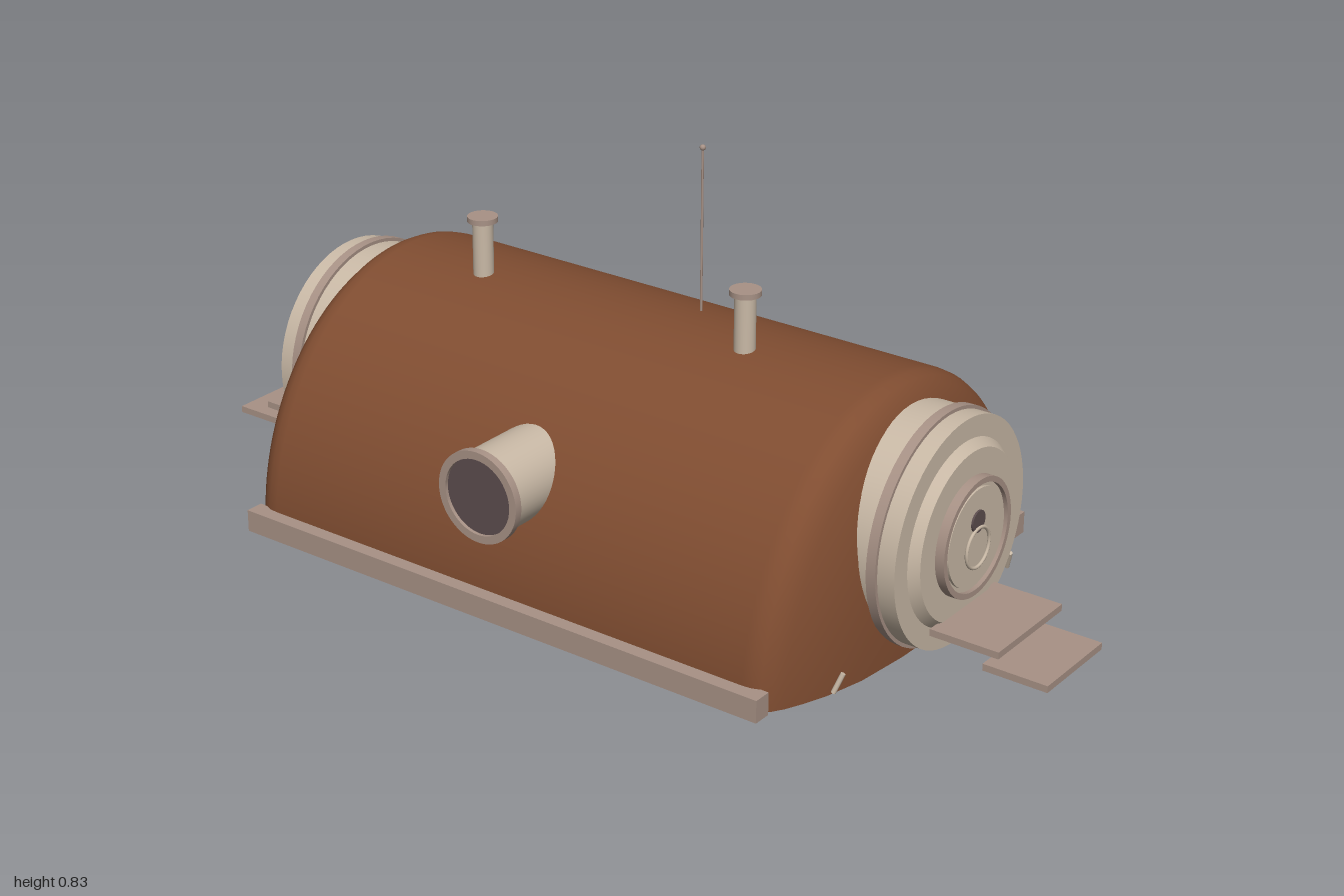
import * as THREE from 'three';
import { toCreasedNormals } from 'three/addons/utils/BufferGeometryUtils.js';

function material(name, color, side = THREE.FrontSide) {
  const m = new THREE.MeshStandardMaterial({ color, side });
  m.name = name;
  return m;
}

export function createModel() {
  const rust = material('rust brown', 0x804d31, THREE.DoubleSide);
  const tan = material('warm tan', 0xc9b9a6);
  const taupe = material('taupe', 0xa89286);
  const dark = material('dark glass', 0x5c4d4e);

  const root = new THREE.Group();
  root.name = 'shelter';
  root.position.z = -0.008;

  const add = (parent, name, geometry, mat, x = 0, y = 0, z = 0) => {
    const mesh = new THREE.Mesh(geometry, mat);
    mesh.name = name;
    mesh.position.set(x, y, z);
    parent.add(mesh);
    return mesh;
  };
  const box = (w, h, d) => new THREE.BoxGeometry(w, h, d);
  const cyl = (r, h, n = 32) => new THREE.CylinderGeometry(r, r, h, n);
  // Turned part around the y axis from [radius, height] pairs, with sharp steps
  const turned = (pairs, n = 64) => toCreasedNormals(
    new THREE.LatheGeometry(pairs.map(([r, h]) => new THREE.Vector2(r, h)), n), 0.5);
  const alongX = (g) => g.rotateZ(-Math.PI / 2);
  const alongZ = (g) => g.rotateX(Math.PI / 2);

  // Half-barrel hull with domed ends, open underneath
  const dome = [[0, 0.705], [0.25, 0.702], [0.52, 0.69], [0.71, 0.67], [0.82, 0.652],
    [0.9, 0.636], [0.95, 0.622], [0.98, 0.606], [0.995, 0.59], [1, 0.57]];
  const hullProfile = [
    ...dome.map(([r, x]) => new THREE.Vector2(r, -x)),
    ...dome.slice().reverse().map(([r, x]) => new THREE.Vector2(r, x)),
  ];
  const hull = new THREE.LatheGeometry(hullProfile, 64, 0, Math.PI)
    .rotateZ(Math.PI / 2).scale(1, 0.493, 0.442);
  add(root, 'hull', hull, rust, 0, 0.01, 0);

  // Ground rails along both long sides
  for (const s of [1, -1]) add(root, 'groundRail', box(1.245, 0.046, 0.038), taupe, 0, 0.032, s * 0.45);

  // Both ends: entrance hatch, steps, hooks and inner brackets
  for (const s of [1, -1]) {
    const end = new THREE.Group();
    end.name = s > 0 ? 'leftEnd' : 'rightEnd';
    end.rotation.y = s > 0 ? 0 : Math.PI;
    root.add(end);

    const hatch = new THREE.Group();
    hatch.name = 'hatch';
    hatch.position.y = 0.237;
    end.add(hatch);
    add(hatch, 'hatchBody', alongX(turned([[0, 0.5], [0.226, 0.5], [0.226, 0.748], [0.183, 0.748],
      [0.168, 0.766], [0, 0.766]])), tan);
    add(hatch, 'hatchBand', alongX(turned([[0.22, 0.692], [0.233, 0.692], [0.233, 0.712],
      [0.22, 0.712]])), taupe);
    add(hatch, 'hatchRing', alongX(turned([[0.118, 0.76], [0.118, 0.785], [0.107, 0.785],
      [0.107, 0.76]])), taupe);
    add(hatch, 'hatchHub', alongX(turned([[0.107, 0.76], [0.107, 0.776], [0.098, 0.776],
      [0.098, 0.782], [0, 0.782]])), tan);
    add(hatch, 'peephole', alongX(cyl(0.022, 0.006, 24)), dark, 0.783, 0.034, 0);
    add(hatch, 'handwheel', new THREE.TorusGeometry(0.04, 0.0035, 8, 32).rotateY(Math.PI / 2),
      tan, 0.786, -0.019, 0);

    add(end, 'upperStep', box(0.145, 0.014, 0.23), taupe, 0.8325, 0.083, 0);
    add(end, 'lowerStep', box(0.135, 0.014, 0.2), taupe, 0.9325, 0.04, 0);

    for (const t of [1, -1]) {
      const hook = add(end, 'tieHook', cyl(0.005, 0.042, 10), tan, 0.685, 0.036, t * 0.301);
      hook.rotation.set(-t * 0.3, 0, -0.3);
      add(end, 'innerBracket', box(0.02, 0.1, 0.06), taupe, 0.64, 0.065, t * 0.3);
    }
  }

  // Round window pipe on the front
  const porthole = new THREE.Group();
  porthole.name = 'porthole';
  porthole.position.y = 0.276;
  root.add(porthole);
  add(porthole, 'portholePipe', alongZ(cyl(0.084, 0.25, 48)), tan, 0, 0, 0.345);
  add(porthole, 'portholeFlange', alongZ(turned([[0.08, 0.471], [0.093, 0.471], [0.093, 0.487],
    [0.077, 0.487], [0.077, 0.475]], 48)), taupe);
  add(porthole, 'portholeGlass', alongZ(cyl(0.078, 0.008, 48)), dark, 0, 0, 0.476);

  // Roof vents with flat lids
  for (const x of [-0.348, 0.29]) {
    add(root, 'ventPipe', cyl(0.021, 0.17, 24), tan, x, 0.53, 0.045);
    add(root, 'ventLid', cyl(0.031, 0.011, 24), taupe, x, 0.616, 0.045);
  }

  // Antenna with a ball tip
  add(root, 'antennaRod', cyl(0.0025, 0.35, 8), taupe, 0.113, 0.655, -0.06);
  add(root, 'antennaTip', new THREE.SphereGeometry(0.006, 12, 8), taupe, 0.113, 0.833, -0.06);

  return root;
}
